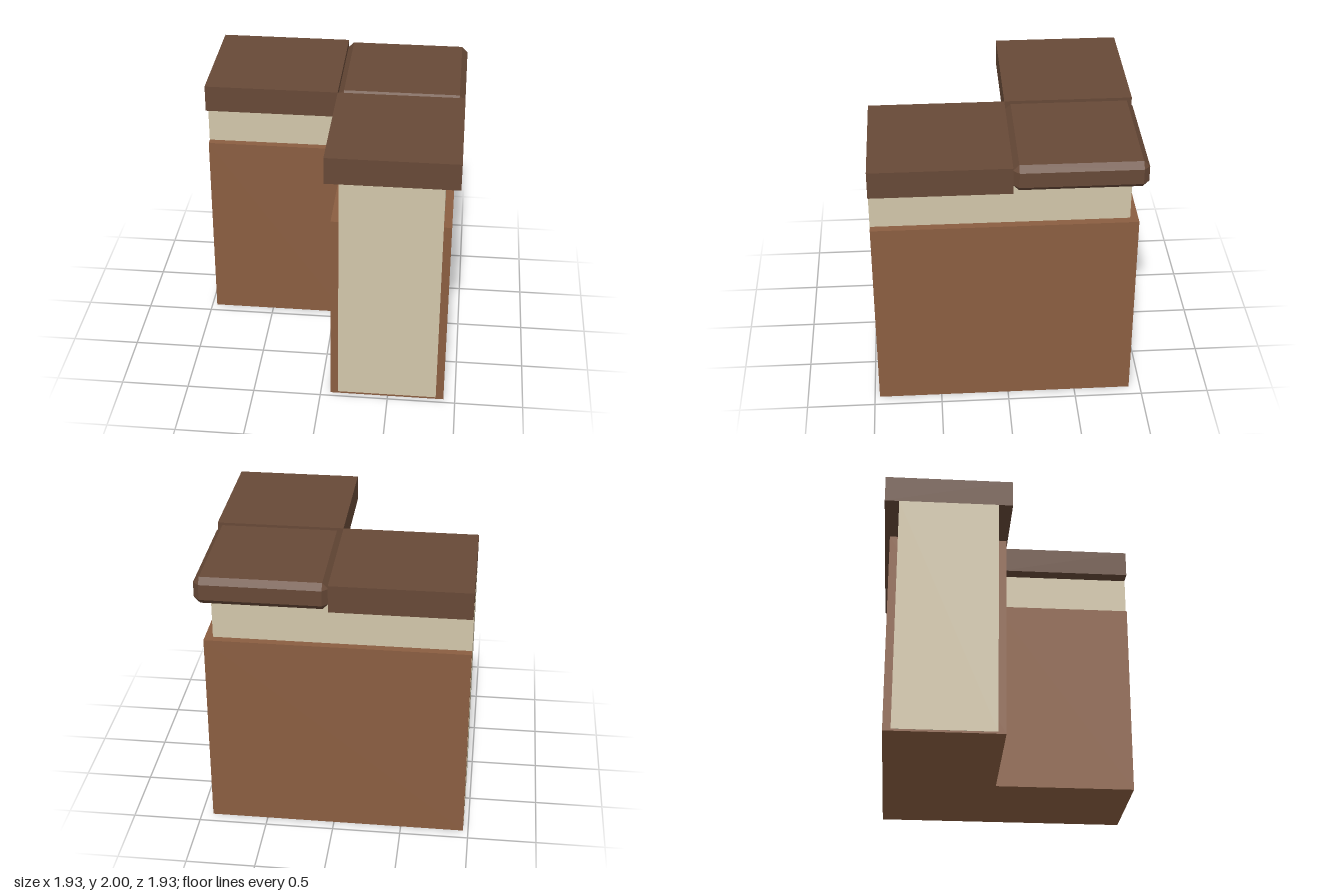
import * as THREE from 'three';
import { ConvexGeometry } from 'three/addons/geometries/ConvexGeometry.js';

const material = (color) => new THREE.MeshStandardMaterial({ color, flatShading: true });

// L-shaped wall: one arm runs to -x, the other to +z, meeting at the back corner
function lWall(name, inner, outer, end, bottom, top, mat) {
  const shape = new THREE.Shape([
    [-end, -outer], [outer, -outer], [outer, end],
    [inner, end], [inner, -inner], [-end, -inner],
  ].map(([x, z]) => new THREE.Vector2(x, z)));
  const geo = new THREE.ExtrudeGeometry(shape, { depth: top - bottom, bevelEnabled: false });
  geo.rotateX(Math.PI / 2).translate(0, top, 0);
  const mesh = new THREE.Mesh(geo, mat);
  mesh.name = name;
  return mesh;
}

// Box with every edge and corner cut flat
function chamferedBox(w, h, d, c) {
  const points = [];
  for (const sx of [-1, 1]) for (const sy of [-1, 1]) for (const sz of [-1, 1]) {
    const [x, y, z] = [sx * w / 2, sy * h / 2, sz * d / 2];
    points.push(
      new THREE.Vector3(x, y - sy * c, z - sz * c),
      new THREE.Vector3(x - sx * c, y, z - sz * c),
      new THREE.Vector3(x - sx * c, y - sy * c, z),
    );
  }
  return new ConvexGeometry(points);
}

export function createModel() {
  const model = new THREE.Group();
  model.name = 'cornerWall';
  const panel = material(0x8b5e41);
  const plaster = material(0xd2c6aa);
  const cap = material(0x674937);

  // Lower cladding and the narrower core; the core sits a hair proud at the open ends
  model.add(lWall('lowerPanel', 0.075, 0.915, 0.963, 0, 1.5, panel));
  model.add(lWall('plasterCore', 0.13, 0.858, 0.9645, 0.015, 1.8, plaster));

  // Coping over each arm, and a chamfered block on the corner
  const addCap = (name, geo, x, z) => {
    const mesh = new THREE.Mesh(geo, cap);
    mesh.name = name;
    mesh.position.set(x, 1.9, z);
    model.add(mesh);
  };
  const near = 0.027, far = 0.963;
  const mid = (near + far) / 2, width = far - near, length = far + near;
  addCap('sideCap', new THREE.BoxGeometry(length, 0.2, width), (near - far) / 2, -mid);
  addCap('frontCap', new THREE.BoxGeometry(width, 0.2, length), mid, (far - near) / 2);
  addCap('cornerCap', chamferedBox(width, 0.2, width, 0.043), mid, -mid);

  return model;
}
